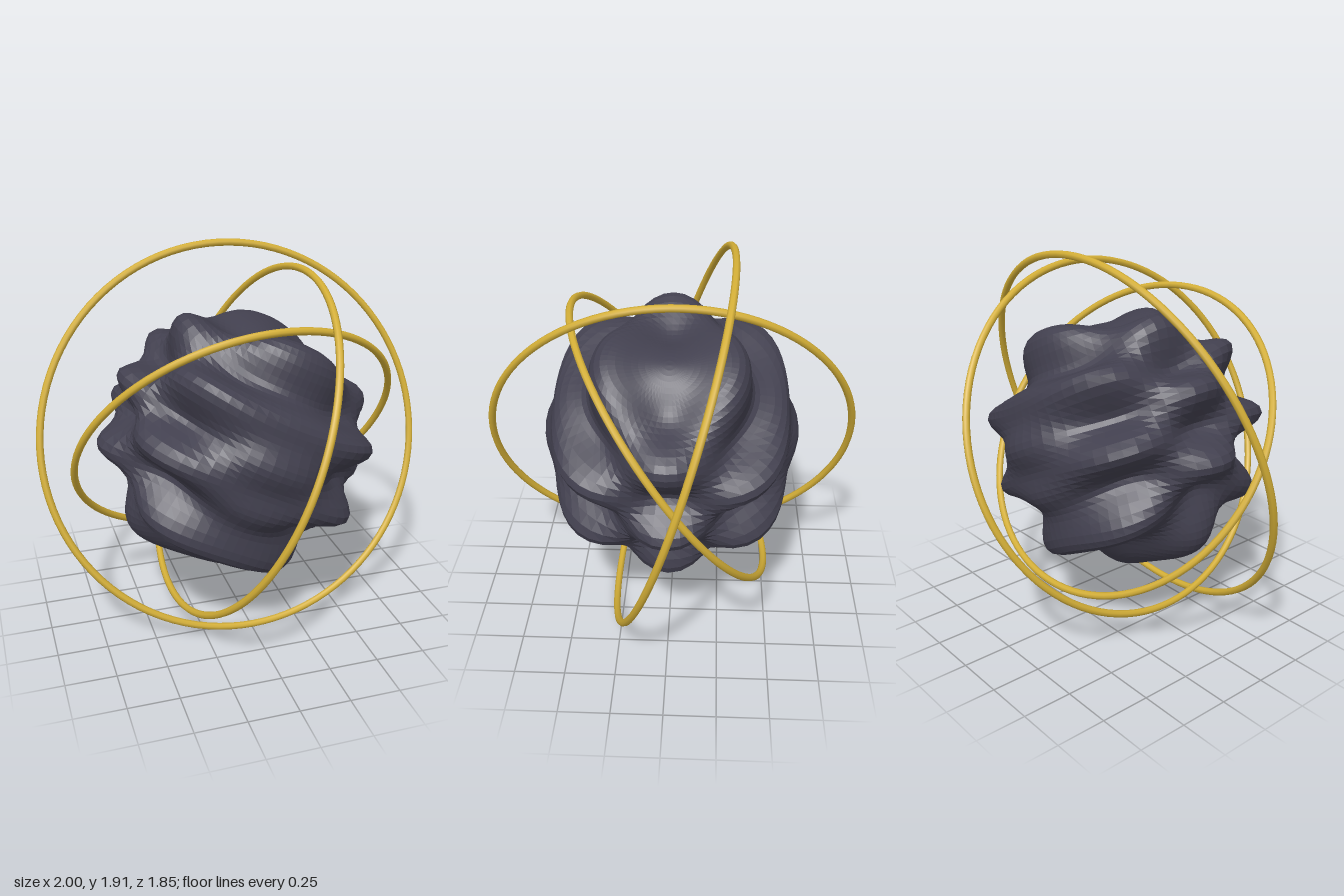
import * as THREE from 'three';

const CENTER_Y = 0.953;
const CORE_RADIUS = 0.62;
const RIPPLE = 0.09;

// Sphere pushed in and out by a checkered wave, giving scalloped ridges
function rippledSphere() {
  const geometry = new THREE.SphereGeometry(1, 64, 64);
  const pos = geometry.attributes.position;
  const n = new THREE.Vector3();
  for (let i = 0; i < pos.count; i++) {
    n.fromBufferAttribute(pos, i).normalize();
    const r = CORE_RADIUS + RIPPLE * Math.sin(12 * n.y) * Math.cos(5 * n.z);
    pos.setXYZ(i, n.x * r, n.y * r, n.z * r);
  }
  geometry.computeVertexNormals();
  return geometry;
}

// Thin hoop lying in the plane of the two given directions
function hoop(name, radius, across, up, material) {
  const mesh = new THREE.Mesh(new THREE.TorusGeometry(radius, 0.018, 8, 100), material);
  const u = new THREE.Vector3(...across).normalize();
  const normal = u.clone().cross(new THREE.Vector3(...up)).normalize();
  const v = normal.clone().cross(u);
  mesh.quaternion.setFromRotationMatrix(new THREE.Matrix4().makeBasis(u, v, normal));
  mesh.position.y = CENTER_Y;
  mesh.name = name;
  return mesh;
}

export function createModel() {
  const stone = new THREE.MeshStandardMaterial({ color: 0x42404f, flatShading: true });
  stone.name = 'dark stone';
  const gold = new THREE.MeshStandardMaterial({ color: 0xd4af37 });
  gold.name = 'gold';

  const model = new THREE.Group();
  model.name = 'ringedCore';

  // Rippled core, leaning to one side
  const core = new THREE.Mesh(rippledSphere(), stone);
  core.name = 'core';
  core.position.y = CENTER_Y;
  core.rotation.z = -0.47;
  model.add(core);

  // Three nested hoops, each tilted its own way
  model.add(
    hoop('outerRing', 0.982, [1, 0, -0.01], [0, 0.954, -0.301], gold),
    hoop('middleRing', 0.907, [0.035, -0.01, 0.91], [0.37, 0.86, -0.02], gold),
    hoop('innerRing', 0.835, [0.84, 0.04, -0.06], [0.04, 0.69, 0.49], gold),
  );
  return model;
}
